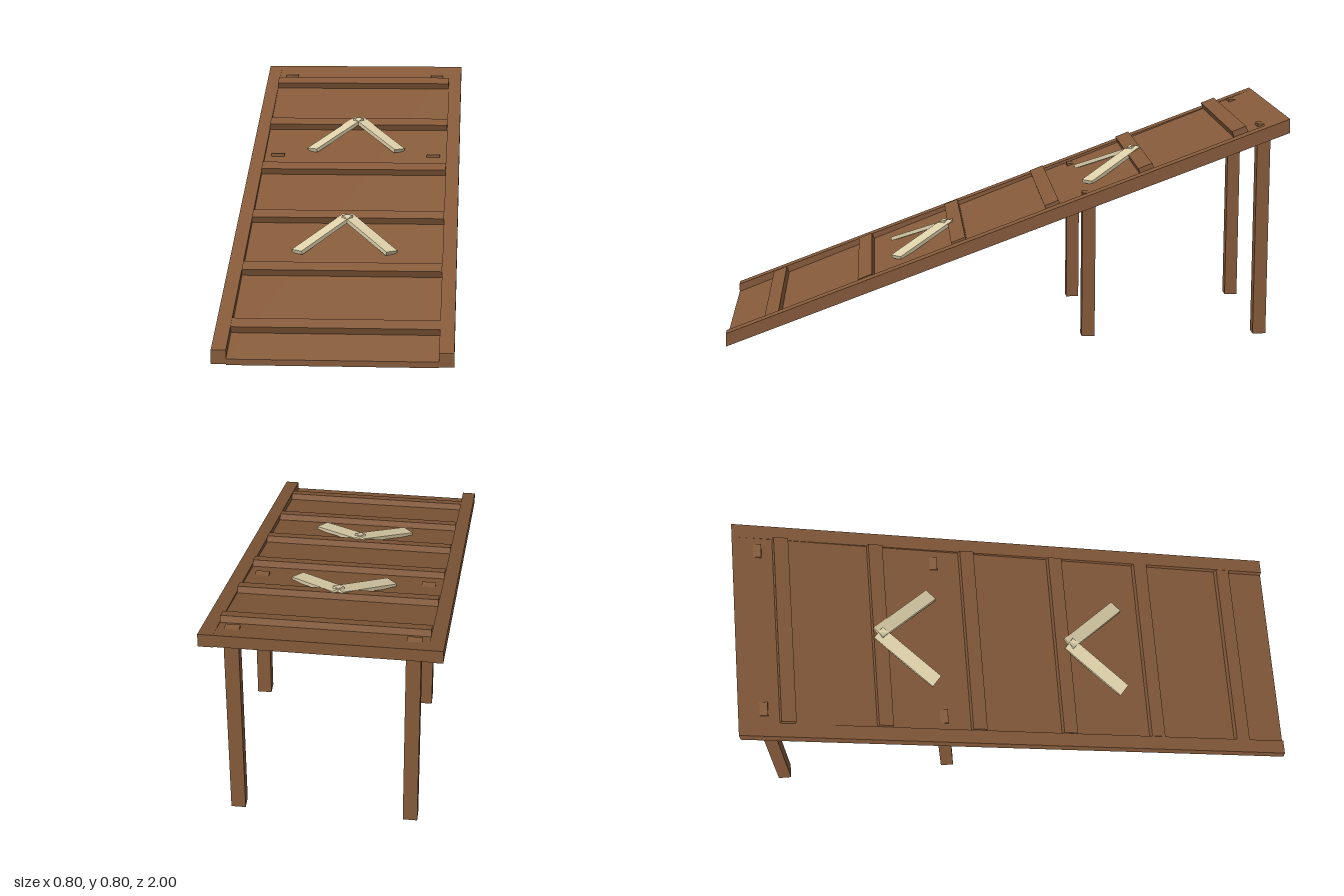
import * as THREE from 'three';

const SLOPE = 0.39;
const deckY = z => 0.02 + SLOPE * (1 - z);

// Extrudes a side profile of [z, y] points across x, from x0 to x1
function sidePrism(points, x0, x1) {
  const shape = new THREE.Shape(points.map(([z, y]) => new THREE.Vector2(-z, y)));
  const geo = new THREE.ExtrudeGeometry(shape, { depth: x1 - x0, bevelEnabled: false });
  geo.rotateY(Math.PI / 2); // shape x (-z) -> z, depth -> x
  geo.translate(x0, 0, 0);
  return geo;
}

export function createModel() {
  const model = new THREE.Group();
  model.name = 'ramp';
  const wood = new THREE.MeshStandardMaterial({ color: 0x855a3a });
  wood.name = 'brown wood';
  const cream = new THREE.MeshStandardMaterial({ color: 0xdccfa9 });
  cream.name = 'cream paint';

  const add = (name, geo, mat, parent = model) => {
    const mesh = new THREE.Mesh(geo, mat);
    mesh.name = name;
    parent.add(mesh);
    return mesh;
  };

  // Sloping deck, sunk between the rails at the foot and flush at the head
  add('deck', sidePrism(
    [[1, 0], [1, 0.02], [-1, 0.8], [-1, 0.752], [-0.96, 0.732]], -0.35, 0.35), wood);

  // Side rails
  const rail = [[1, 0.003], [1, 0.05], [-1, 0.8], [-1, 0.75]];
  add('leftRail', sidePrism(rail, 0.35, 0.4), wood);
  add('rightRail', sidePrism(rail, -0.4, -0.35), wood);

  // Cross cleats, square to the deck
  const angle = Math.atan(SLOPE);
  for (let i = 0; i < 6; i++) {
    const z = 0.831 - i * 0.3335;
    const cleat = add('cleat', new THREE.BoxGeometry(0.7, 0.032, 0.054), wood);
    cleat.rotation.x = angle;
    cleat.position.set(0, deckY(z) + 0.0075, z + 0.003);
  }

  // Posts, whose tops just break through the deck
  for (const [z, h] of [[-0.298, 0.528], [-0.923, 0.772]]) {
    for (const x of [-0.3, 0.3]) {
      add('post', new THREE.BoxGeometry(0.05, h, 0.047), wood).position.set(x, h / 2, z);
    }
  }

  // Chevron arrows, each made of two tilted bars
  for (const [dy, dz] of [[0, 0], [-0.272, 0.698]]) {
    const arrow = new THREE.Group();
    arrow.name = 'chevron';
    arrow.position.set(0, dy, dz);
    model.add(arrow);
    for (const side of [-1, 1]) {
      const top = new THREE.Vector3(0, 0.643, -0.502);
      const end = new THREE.Vector3(0.17 * side, 0.545, -0.305);
      const along = end.clone().sub(top);
      const length = along.length();
      along.normalize();
      const across = new THREE.Vector3(0, 1, 0).cross(along).normalize();
      const up = along.clone().cross(across);
      const bar = add('chevronBar', new THREE.BoxGeometry(0.05, 0.014, length), cream, arrow);
      bar.quaternion.setFromRotationMatrix(new THREE.Matrix4().makeBasis(across, up, along));
      bar.position.copy(top).add(end).multiplyScalar(0.5).addScaledVector(up, -0.007);
    }
  }
  return model;
}
